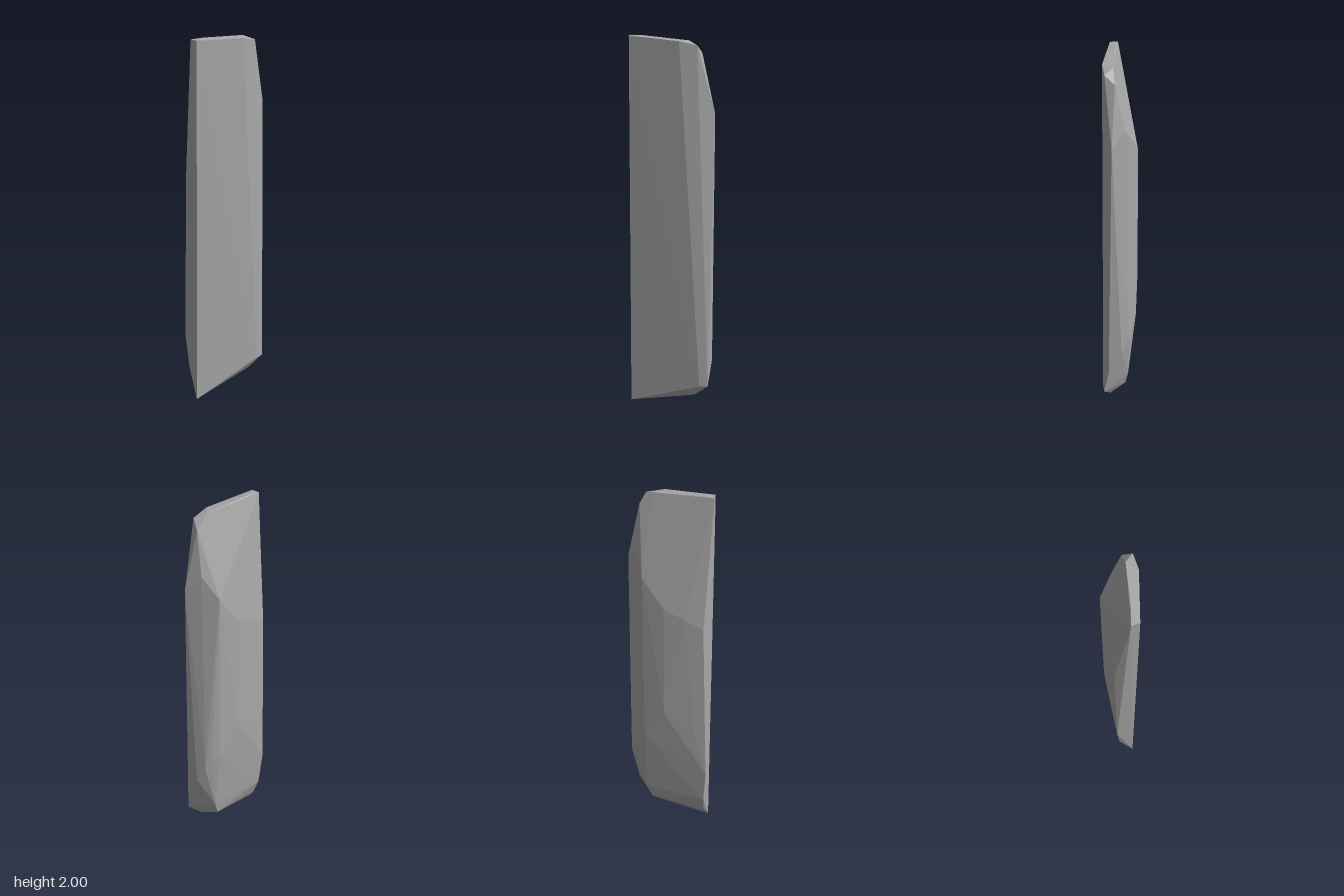
import * as THREE from 'three';
import { ConvexGeometry } from 'three/addons/geometries/ConvexGeometry.js';

export function createModel() {
  const group = new THREE.Group();
  group.name = 'standingStone';
  const stone = new THREE.MeshStandardMaterial({ color: 0xa8a8a8, flatShading: true });
  stone.name = 'greyStone';

  // Corners of the chiselled slab, x / y / z, grouped by zone
  const crown = [
    [-0.21, 2, 0.01], [-0.21, 2, -0.03], [-0.14, 2, -0.01], [0.09, 1.98, 0.035],
    [0.04, 1.98, 0.08], [0.13, 1.96, 0.08], [0.155, 1.92, 0.035], [-0.21, 1.92, -0.035],
  ];
  const shoulder = [
    [0.18, 1.7, -0.01], [0.222, 1.62, 0.06], [0.13, 1.58, -0.08],
    [0.02, 1.42, -0.1], [-0.09, 1.37, -0.105], [-0.18, 1.32, -0.102],
  ];
  const body = [
    [0.02, 0.78, -0.104], [-0.14, 0.7, -0.105], [0.13, 0.6, -0.08], [0.175, 0.55, -0.055],
    [0.2, 0.5, -0.035], [0.222, 0.42, 0.01], [-0.21, 0.38, -0.102], [0.222, 0.29, 0.08],
  ];
  const foot = [
    [0.13, 0.2, -0.04], [-0.2, 0.17, -0.085], [0.2, 0.14, 0.103], [0.155, 0.14, 0.103],
    [0.1, 0.11, -0.03], [0.13, 0.07, 0.06], [-0.2, 0.07, -0.05], [-0.222, 0, -0.01],
  ];

  const points = [...crown, ...shoulder, ...body, ...foot].map((p) => new THREE.Vector3(...p));
  const slab = new THREE.Mesh(new ConvexGeometry(points), stone);
  slab.name = 'stoneSlab';
  group.add(slab);
  return group;
}
